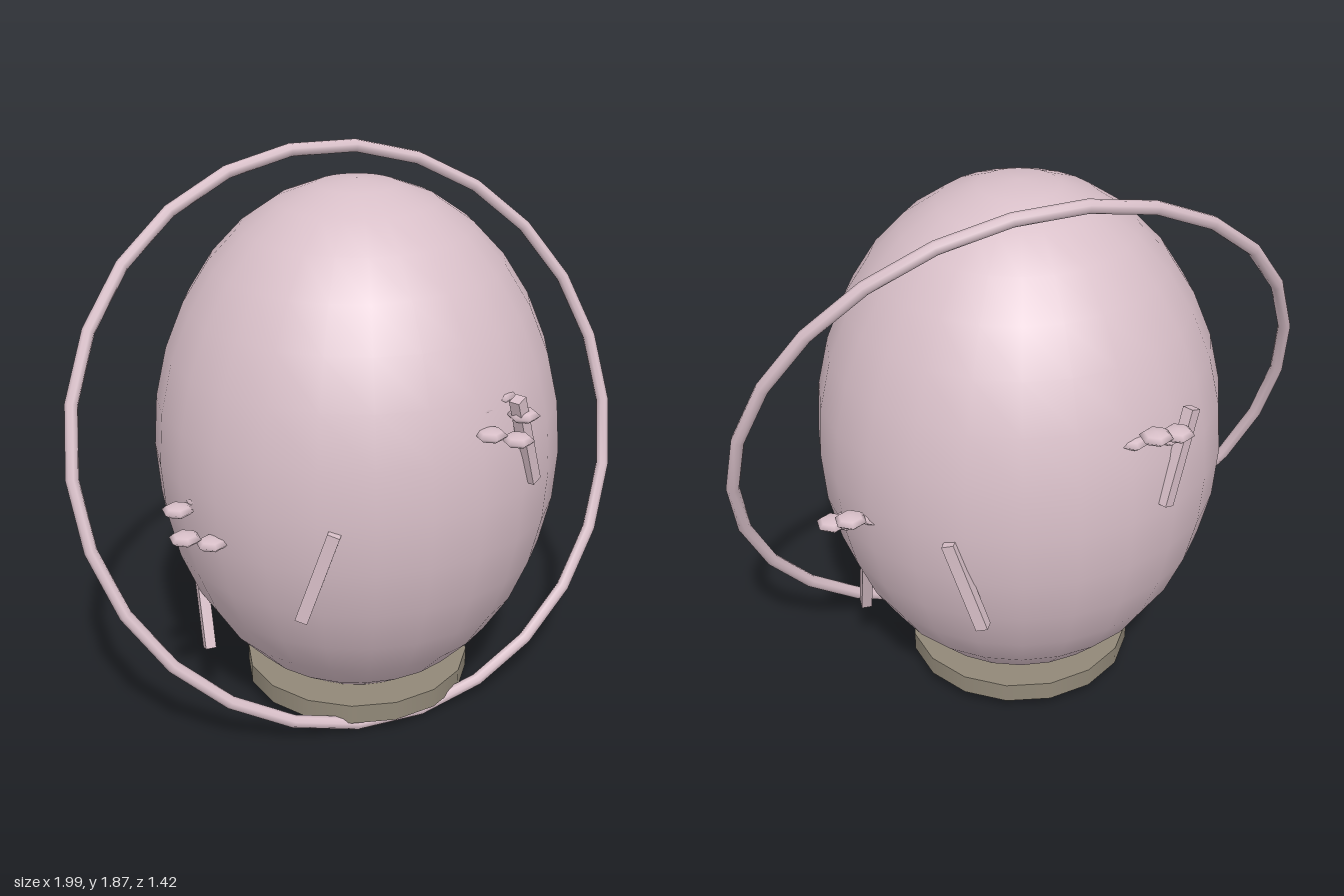
import * as THREE from 'three';

export function createModel() {
  const model = new THREE.Group();
  const pink = new THREE.MeshStandardMaterial({ color: 0xd8bfc8 });
  pink.name = 'palePink';
  const taupe = new THREE.MeshStandardMaterial({ color: 0x918878 });
  taupe.name = 'taupe';

  const CENTER = 0.95, RX = 0.675, RY = 0.885;
  const add = (name, geometry, material, parent = model) => {
    const mesh = new THREE.Mesh(geometry, material);
    mesh.name = name;
    parent.add(mesh);
    return mesh;
  };
  // Radius of the egg at a given height
  const eggRadius = (y) => RX * Math.sqrt(1 - ((y - CENTER) / RY) ** 2);

  // Egg body
  const egg = add('egg', new THREE.SphereGeometry(1, 24, 16), pink);
  egg.scale.set(RX, RY, RX);
  egg.position.y = CENTER;

  // Round foot
  add('base', new THREE.CylinderGeometry(0.39, 0.39, 0.068, 16), taupe).position.y = 0.098;

  // Tilted hoop around the egg
  const hoop = add('hoop', new THREE.TorusGeometry(0.975, 0.022, 8, 26), pink);
  hoop.position.y = CENTER;
  hoop.rotation.set(-0.345, 0.08, 0);

  // Six slanted bars set into the shell, leaning alternately
  const barGeometry = new THREE.BoxGeometry(0.04, 0.32, 0.036);
  const barHeights = [0.42, 1.125, 0.773];
  for (let i = 0; i < 6; i++) {
    const angle = (i * Math.PI) / 3;
    const y = barHeights[i % 3];
    const r = eggRadius(y) + 0.011;
    const bar = add('bar', barGeometry, pink);
    bar.position.set(Math.cos(angle) * r, y, Math.sin(angle) * r);
    bar.rotation.order = 'YXZ';
    bar.rotation.y = Math.PI / 2 - angle;
    bar.rotation.z = i % 2 ? 0.33 : -0.33;
  }

  // Four flowers, each a tilted ring of five flattened petals
  const petalGeometry = new THREE.SphereGeometry(0.052, 6, 4);
  petalGeometry.rotateY(Math.PI / 2);
  petalGeometry.scale(1, 0.36, 1);
  for (let i = 0; i < 4; i++) {
    const angle = THREE.MathUtils.degToRad(67 + i * 90);
    const y = i % 2 ? 0.86 : 1.215;
    const r = eggRadius(y);
    const flower = new THREE.Group();
    flower.name = 'flower';
    flower.position.set(Math.cos(angle) * r, y, Math.sin(angle) * r);
    for (let p = 0; p < 5; p++) {
      const a = (p * Math.PI * 2) / 5;
      add('petal', petalGeometry, pink, flower)
        .position.set(0.07 * Math.cos(a), -0.05 * Math.sin(a), 0.07 * Math.sin(a));
    }
    model.add(flower);
  }
  return model;
}
